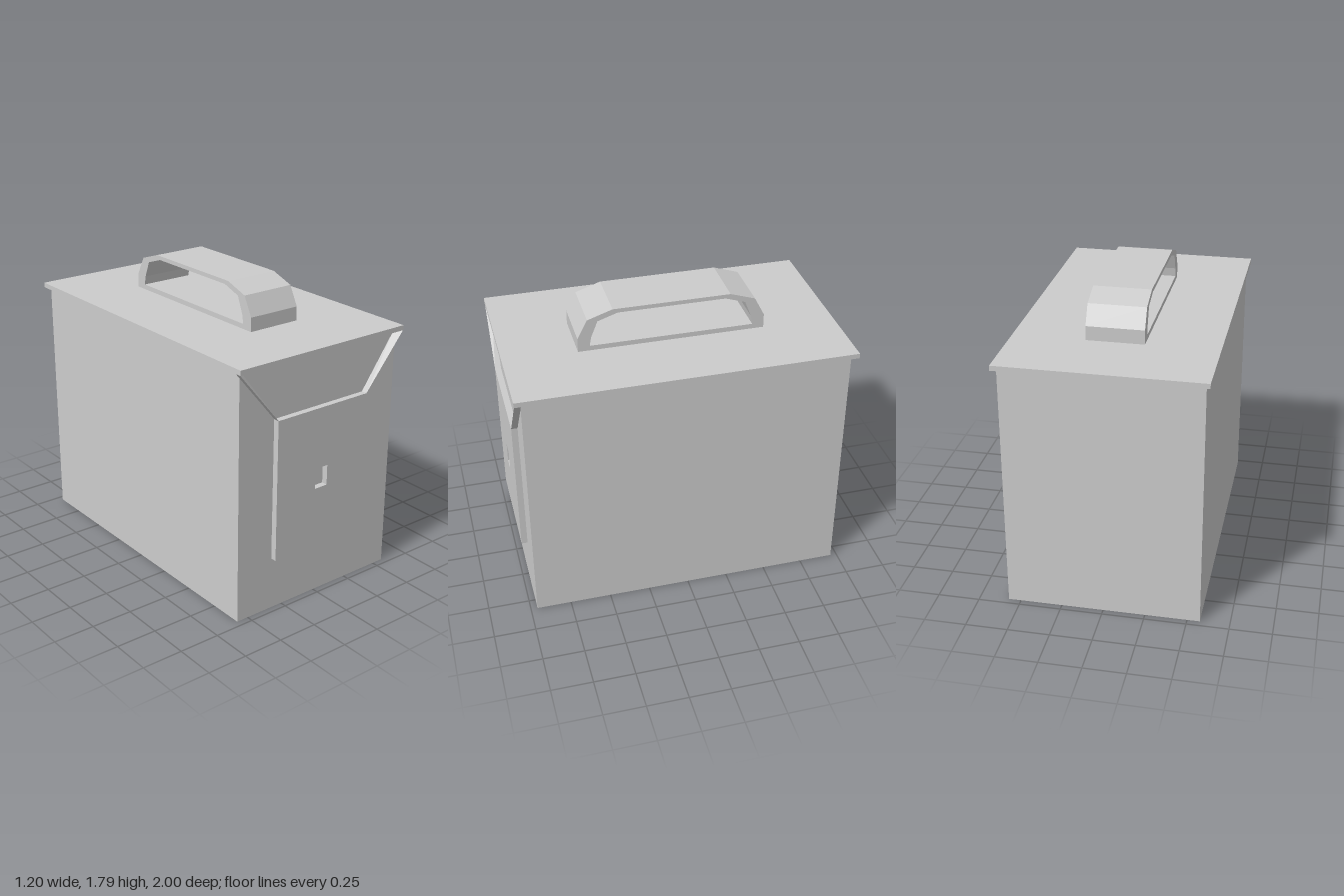
import * as THREE from 'three';
import { ConvexGeometry } from 'three/addons/geometries/ConvexGeometry.js';

export function createModel() {
  const model = new THREE.Group();
  model.name = 'ammunitionBox';
  const grey = new THREE.MeshStandardMaterial({ color: 0xcccccc });
  grey.name = 'light grey';

  function add(name, geometry) {
    const mesh = new THREE.Mesh(geometry, grey);
    mesh.name = name;
    model.add(mesh);
    return mesh;
  }
  function box(name, w, y0, y1, d) {
    return add(name, new THREE.BoxGeometry(w, y1 - y0, d).translate(0, (y0 + y1) / 2, 0));
  }
  const points = (list) => list.map(([x, y]) => new THREE.Vector2(x, y));
  // Mirrors half of a profile about its first coordinate into a closed loop
  const mirrored = (half) => points([...half, ...half.map(([x, y]) => [-x, y]).reverse()]);

  // Container and overhanging lid
  box('body', 1.15, 0, 1.515, 1.92);
  box('lid', 1.2, 1.515, 1.545, 2);

  // Faceted carrying handle: a closed band, extruded across the lid
  const band = new THREE.Shape(mirrored([[0.56, 1.545], [0.56, 1.63], [0.5, 1.745], [0.35, 1.795]]));
  band.holes.push(new THREE.Path(mirrored([[0.49, 1.575], [0.48, 1.63], [0.44, 1.73], [0.32, 1.77]])));
  add('handle', new THREE.ExtrudeGeometry(band, { depth: 0.34, bevelEnabled: false })
    .rotateY(-Math.PI / 2).translate(0.17, 0, 0));

  // Front latch plate with a small rectangular slot
  const plate = new THREE.Shape(mirrored([[0.33, 0.325], [0.33, 1.19]]));
  plate.holes.push(new THREE.Path(mirrored([[0.045, 0.695], [0.045, 0.82]])));
  add('latchPlate', new THREE.ExtrudeGeometry(plate, { depth: 0.037, bevelEnabled: false })
    .translate(0, 0, 0.96));

  // Tapered struts from the plate's upper corners to the lid's corners
  for (const side of [1, -1]) {
    const corners = [
      [0.33, 1.19, 0.96], [0.33, 1.19, 0.997],
      [0.6, 1.515, 0.96], [0.6, 1.515, 0.998], [0.565, 1.515, 0.96],
    ].map(([x, y, z]) => new THREE.Vector3(side * x, y, z));
    add(side > 0 ? 'leftStrut' : 'rightStrut', new ConvexGeometry(corners));
  }

  return model;
}
